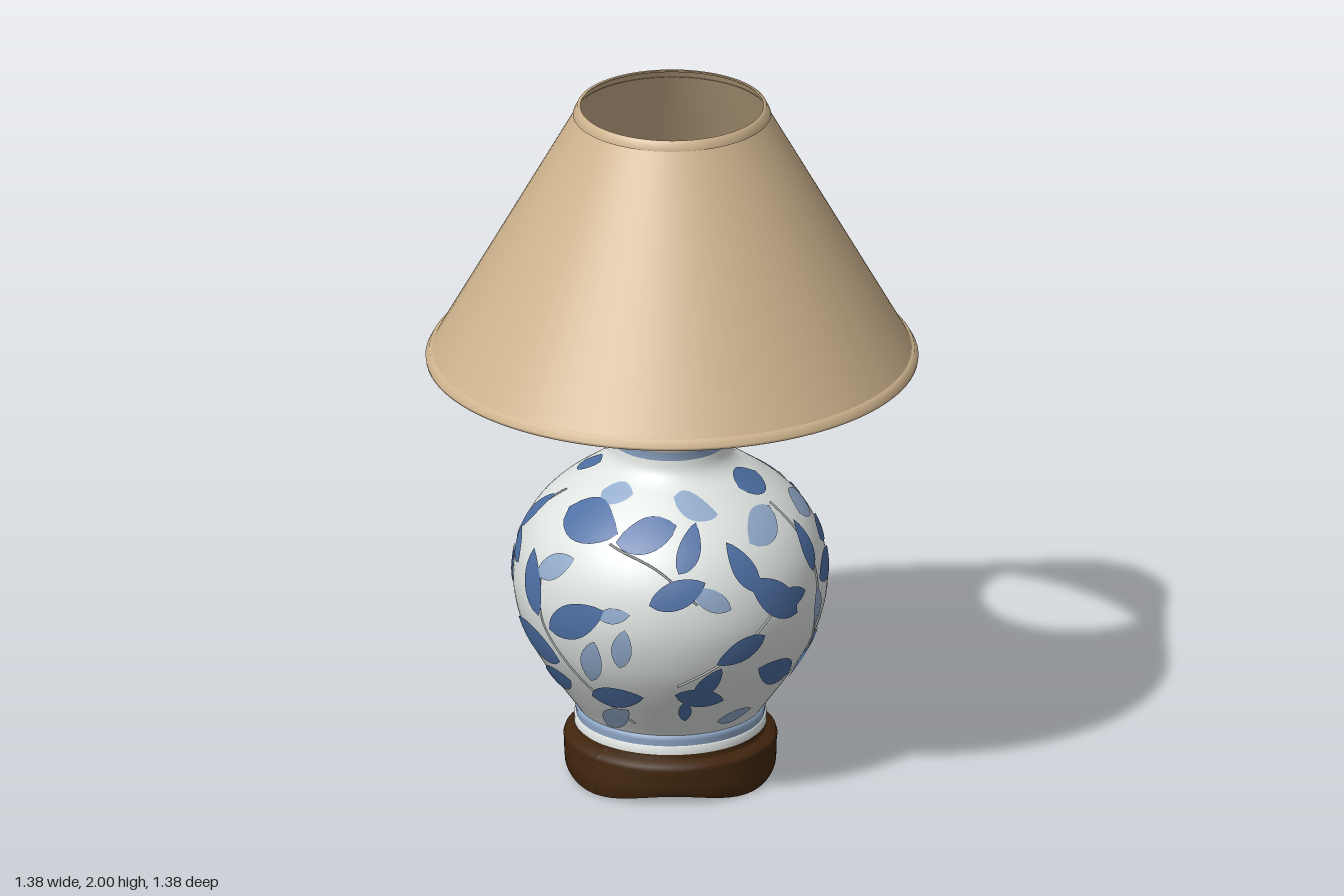
import * as THREE from 'three';
import { mergeGeometries } from 'three/addons/utils/BufferGeometryUtils.js';

const mat = (name, color, side = THREE.FrontSide) => {
  const m = new THREE.MeshStandardMaterial({ color, side });
  m.name = name;
  return m;
};
const V2 = (p) => p.map(([r, y]) => new THREE.Vector2(r, y));

// Smooth vase silhouette, sampled densely so painted leaves can follow it
const vaseProfile = new THREE.SplineCurve(V2([
  [0.258, 0.19], [0.275, 0.215], [0.318, 0.275], [0.368, 0.35], [0.41, 0.43], [0.436, 0.52], [0.441, 0.6],
  [0.425, 0.69], [0.385, 0.77], [0.325, 0.835], [0.25, 0.89], [0.195, 0.925], [0.17, 0.955], [0.163, 0.99],
])).getPoints(52);

function radiusAt(y) {
  let i = 1;
  while (i < vaseProfile.length - 1 && vaseProfile[i].y < y) i++;
  const a = vaseProfile[i - 1], b = vaseProfile[i];
  return THREE.MathUtils.lerp(a.x, b.x, THREE.MathUtils.clamp((y - a.y) / (b.y - a.y), 0, 1));
}
function onVase(theta, y, lift) {
  const r = radiusAt(y) + lift;
  return new THREE.Vector3(r * Math.sin(theta), y, r * Math.cos(theta));
}
// Angle around the vase for a sideways offset u seen from a facing direction
const angleFor = (facing, u, y) =>
  THREE.MathUtils.degToRad(facing) + Math.asin(THREE.MathUtils.clamp(u / radiusAt(y), -0.98, 0.98));

// Pointed leaf bent onto the vase surface
function leaf(facing, u, y, degrees, length, lift) {
  const geo = new THREE.PlaneGeometry(1, 1, 10, 4);
  const pos = geo.attributes.position;
  const theta = angleFor(facing, u, y), r = radiusAt(y), a = THREE.MathUtils.degToRad(degrees);
  for (let i = 0; i < pos.count; i++) {
    const s = pos.getX(i), along = s * length;
    const across = pos.getY(i) * length * 0.46 * Math.pow(Math.sin(Math.PI * Math.pow(s + 0.5, 0.9)) + 1e-9, 0.75);
    const du = along * Math.cos(a) - across * Math.sin(a);
    const dv = along * Math.sin(a) + across * Math.cos(a);
    const p = onVase(theta + du / r, y + dv, lift);
    pos.setXYZ(i, p.x, p.y, p.z);
  }
  geo.computeVertexNormals();
  return geo;
}

// Leaves per facing side: [sideways, height, angle, length]; negative length is a pale leaf
const sprays = {
  0: [
    [0, 0.835, -5, 0.21], [-0.13, 0.64, 115, 0.19], [0.05, 0.58, 28, 0.22], [-0.14, 0.455, 165, 0.23],
    [-0.1, 0.34, 195, 0.17], [0.12, 0.34, 10, 0.17], [0.09, 0.46, 75, -0.15], [0.19, 0.52, 80, -0.13],
    [0.18, 0.83, 15, 0.17], [0.31, 0.69, 20, 0.17], [0.22, 0.885, -20, -0.12], [-0.17, 0.91, 20, 0.1],
    [-0.26, 0.78, 60, 0.14], [-0.27, 0.69, 150, 0.13], [-0.36, 0.58, 75, 0.15], [-0.37, 0.47, 130, 0.12],
    [-0.31, 0.35, 160, 0.13], [-0.23, 0.24, 0, 0.11], [0.26, 0.3, 95, 0.08], [0.34, 0.4, 60, 0.13],
    [0.07, 0.25, 40, -0.14], [-0.05, 0.71, 30, -0.15], [0.02, 0.9, 5, -0.1], [0.17, 0.62, 10, -0.1],
  ],
  90: [
    [-0.03, 0.64, 140, 0.21], [0.03, 0.625, 0, 0.13], [-0.14, 0.505, 205, 0.16], [-0.2, 0.35, -15, 0.15],
    [0.02, 0.39, 155, 0.19], [0.22, 0.36, 60, 0.15], [0.22, 0.245, 65, 0.1], [0.25, 0.64, 10, 0.17],
    [0.15, 0.73, 80, 0.14], [0.17, 0.55, 100, -0.12], [0.25, 0.8, 5, -0.15], [0.09, 0.9, 0, 0.13],
    [0.02, 0.82, 20, -0.16], [-0.11, 0.74, 115, 0.15], [-0.22, 0.67, 150, -0.13], [-0.22, 0.8, 60, 0.13],
    [-0.05, 0.25, 10, -0.11],
  ],
  146: [
    [0.15, 0.71, 125, 0.19], [0.28, 0.62, 10, 0.17], [0.12, 0.6, 180, -0.16], [0.3, 0.42, 85, 0.14],
    [0.15, 0.4, 15, 0.17], [0.18, 0.29, 200, 0.15], [-0.1, 0.38, 160, 0.13], [0.22, 0.5, 60, -0.12],
    [-0.08, 0.72, 10, 0.13],
  ],
  214: [
    [-0.09, 0.73, 185, 0.22], [-0.24, 0.56, 150, 0.18], [-0.24, 0.43, 190, 0.19], [-0.02, 0.38, 15, 0.17],
    [0.17, 0.55, 12, 0.22], [0.22, 0.82, 15, 0.17], [0.02, 0.87, 100, 0.12], [-0.1, 0.85, 125, 0.14],
    [-0.22, 0.81, 170, -0.14], [0.26, 0.43, 60, 0.15], [0.15, 0.4, 70, -0.14], [0.26, 0.69, 150, 0.15],
    [-0.12, 0.28, 0, 0.11], [0.06, 0.27, 170, -0.12], [0.34, 0.6, 75, 0.16], [0.1, 0.69, 60, -0.12],
  ],
};

// Twigs: facing side followed by [sideways, height] points
const twigs = [
  [0, [0.12, 0.24], [0.0, 0.42], [-0.08, 0.54], [-0.1, 0.68]],
  [0, [-0.4, 0.46], [-0.38, 0.62], [-0.28, 0.76], [-0.17, 0.86]],
  [0, [0.35, 0.66], [0.25, 0.75], [0.1, 0.8]],
  [90, [-0.27, 0.4], [-0.15, 0.5], [-0.04, 0.6]],
  [90, [0.25, 0.3], [0.17, 0.5], [0.17, 0.65], [0.1, 0.85]],
  [146, [0.22, 0.28], [0.23, 0.48], [0.18, 0.65], [0.1, 0.82]],
  [214, [-0.1, 0.3], [0.03, 0.5], [0.12, 0.66], [0.08, 0.8]],
  [214, [-0.3, 0.4], [-0.32, 0.56], [-0.18, 0.72]],
];

export function createModel() {
  const lamp = new THREE.Group();
  lamp.name = 'tableLamp';
  const shadeTan = mat('shadeTan', 0xcfb48e, THREE.DoubleSide);
  const brass = mat('brass', 0xc99f58);
  const wood = mat('darkWood', 0x41260e);
  const porcelain = mat('porcelain', 0xe0e5e2);
  const darkBlue = mat('leafBlue', 0x4d6fa3, THREE.DoubleSide);
  const paleBlue = mat('paleBlue', 0x92abcb, THREE.DoubleSide);
  const twigGrey = mat('twigGrey', 0xa3a8a8);

  const add = (parent, name, geo, material) => {
    const m = new THREE.Mesh(geo, material);
    m.name = name;
    parent.add(m);
    return m;
  };
  const lathe = (points, segments = 72) => new THREE.LatheGeometry(V2(points), segments);

  // Conical shade with rolled rims
  const shade = new THREE.Group();
  shade.name = 'shade';
  lamp.add(shade);
  add(shade, 'shadeCone', lathe([[0.686, 1.242], [0.262, 1.995]], 96), shadeTan);
  add(shade, 'shadeBottomRim', lathe([[0.68, 1.238], [0.69, 1.238], [0.691, 1.246], [0.68, 1.266], [0.666, 1.266]], 96), shadeTan);
  add(shade, 'shadeTopRim', lathe([[0.27, 1.975], [0.278, 1.975], [0.266, 2], [0.257, 2]], 96), shadeTan);

  // Everything below stands on one slightly offset axis
  const base = new THREE.Group();
  base.name = 'lampBase';
  base.position.x = -0.006;
  lamp.add(base);

  // Porcelain vase with painted bands
  add(base, 'vaseBody', new THREE.LatheGeometry(vaseProfile, 80), porcelain);
  add(base, 'footRing', lathe([[0.27, 0.14], [0.27, 0.162], [0.262, 0.165]]), porcelain);
  add(base, 'footBand', lathe([[0.264, 0.162], [0.266, 0.18], [0.268, 0.194], [0.258, 0.196]]), paleBlue);
  add(base, 'neckBand', lathe([[0.163, 0.985], [0.165, 1.0], [0.17, 1.018]]), paleBlue);
  add(base, 'vaseLip', lathe([[0.166, 1.012], [0.176, 1.02], [0.178, 1.035], [0.174, 1.048], [0.15, 1.05]]), porcelain);

  // Painted leaves and twigs
  const dark = [], pale = [];
  for (const [facing, leaves] of Object.entries(sprays))
    leaves.forEach(([u, y, angle, length]) => {
      const isPale = length < 0;
      (isPale ? pale : dark).push(leaf(+facing, u, y, angle, Math.abs(length), isPale ? 0.004 : 0.006));
    });
  add(base, 'darkLeaves', mergeGeometries(dark), darkBlue);
  add(base, 'paleLeaves', mergeGeometries(pale), paleBlue);
  const stems = twigs.map(([facing, ...points]) => {
    const curve = new THREE.CatmullRomCurve3(points.map(([u, y]) => onVase(angleFor(facing, u, y), y, 0)));
    const path = curve.getPoints(24).map((p) => onVase(Math.atan2(p.x, p.z), p.y, 0.001));
    return new THREE.TubeGeometry(new THREE.CatmullRomCurve3(path), 32, 0.0035, 5);
  });
  add(base, 'twigs', mergeGeometries(stems), twigGrey);

  // Brass cap, collar and rod
  add(base, 'brassCap', lathe([[0.15, 1.046], [0.174, 1.048], [0.178, 1.056], [0.172, 1.066], [0.14, 1.074],
    [0.12, 1.088], [0.085, 1.096], [0.055, 1.1], [0, 1.1]]), brass);
  add(base, 'collar', lathe([[0.045, 1.096], [0.053, 1.104], [0.053, 1.112], [0.045, 1.12], [0.028, 1.126]], 32), brass);
  add(base, 'rod', new THREE.CylinderGeometry(0.028, 0.028, 0.52, 24).translate(0, 1.36, 0), brass);
  add(base, 'rodTip', new THREE.CylinderGeometry(0.015, 0.015, 0.03, 16).translate(0, 1.635, 0), brass);

  // Turned wooden stand whose lower edge dips into four low feet
  const stand = lathe([[0, 0.025], [0.27, 0.025], [0.292, 0.018], [0.303, 0.018], [0.305, 0.05], [0.298, 0.08],
    [0.3, 0.1], [0.296, 0.112], [0.272, 0.12], [0.264, 0.126], [0.268, 0.138], [0.262, 0.146], [0, 0.146]], 96);
  const pos = stand.attributes.position;
  for (let i = 0; i < pos.count; i++) {
    const x = pos.getX(i), y = pos.getY(i), z = pos.getZ(i);
    const wave = Math.cos(4 * Math.atan2(x, z));
    if (y < 0.02) pos.setY(i, 0.012 - 0.012 * wave);
    if (y < 0.06) {
      const k = 1 + 0.012 * (wave - 1);
      pos.setX(i, x * k);
      pos.setZ(i, z * k);
    }
  }
  stand.computeVertexNormals();
  add(base, 'woodenStand', stand, wood);
  return lamp;
}
